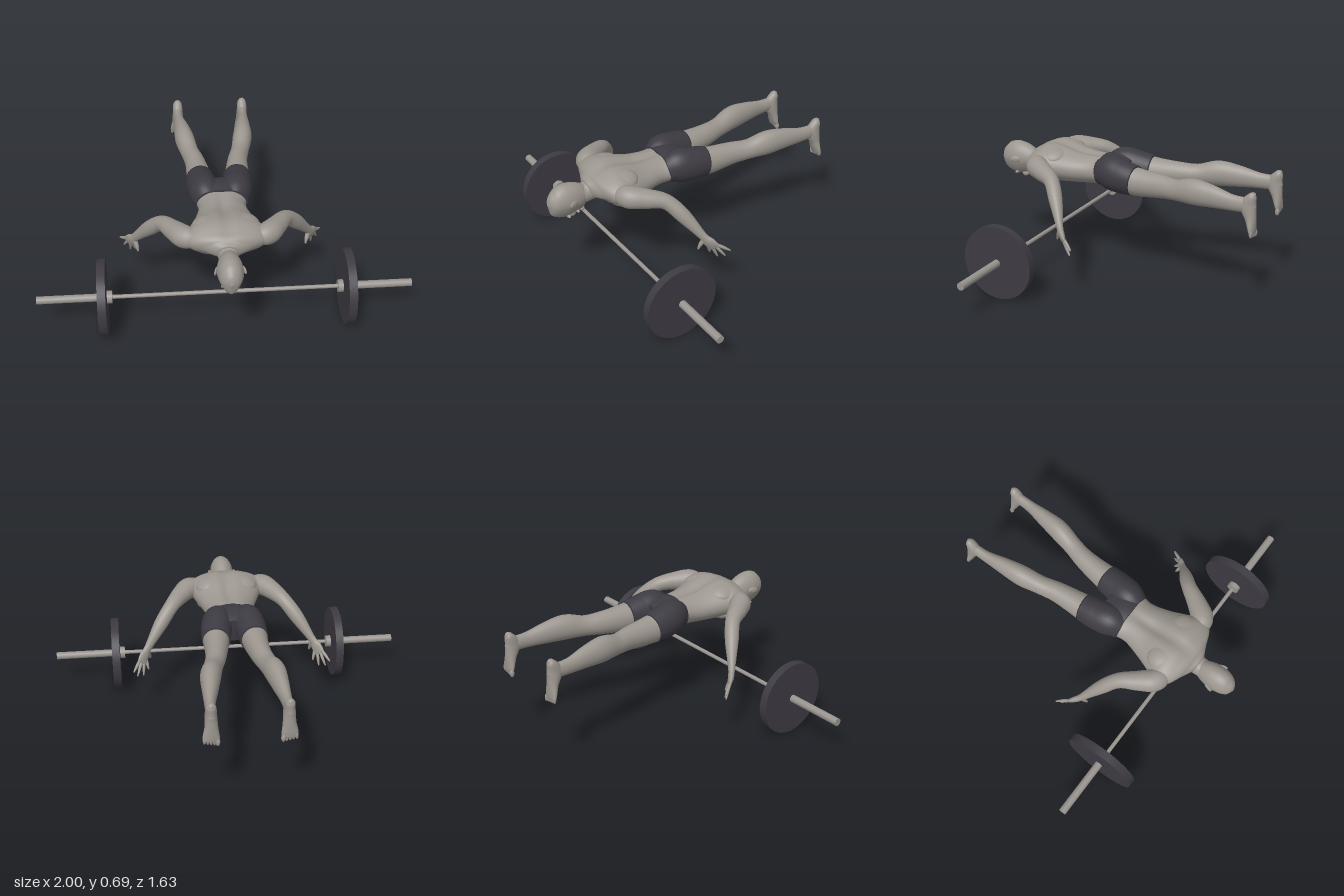
import * as THREE from 'three';

const skin = new THREE.MeshStandardMaterial({ color: 0x9c968f });
skin.name = 'skin grey';
const dark = new THREE.MeshStandardMaterial({ color: 0x3d3b42 });
dark.name = 'dark charcoal';
const steel = new THREE.MeshStandardMaterial({ color: 0x98938e });
steel.name = 'steel grey';

// Smooth closed body through sections [x, y, z, radius across, radius along up]
function loft(name, material, sections, up = [0, 1, 0], { rings = 40, sides = 28, rule } = {}) {
  const path = new THREE.CatmullRomCurve3(sections.map(s => new THREE.Vector3(s[0], s[1], s[2])), false, 'catmullrom', 0.5);
  const radii = new THREE.CatmullRomCurve3(sections.map(s => new THREE.Vector3(s[3], s[4], 0)), false, 'catmullrom', 0.5);
  const ref = new THREE.Vector3(...up);
  const pos = [], index = [];
  for (let i = 0; i <= rings; i++) {
    const t = i / rings, c = path.getPoint(t), r = radii.getPoint(t), T = path.getTangent(t);
    const U = ref.clone().addScaledVector(T, -ref.dot(T)).normalize();
    const S = U.clone().cross(T);
    for (let j = 0; j < sides; j++) {
      const a = (j / sides) * Math.PI * 2;
      const v = c.clone().addScaledVector(S, Math.cos(a) * r.x).addScaledVector(U, Math.sin(a) * r.y);
      if (rule) rule(v, Math.sin(a));
      pos.push(v.x, v.y, v.z);
      if (i < rings) {
        const p = i * sides + j, q = i * sides + (j + 1) % sides;
        index.push(p, q, p + sides, q, q + sides, p + sides);
      }
    }
  }
  // End caps
  const first = pos.length / 3, base = rings * sides;
  const a = path.getPoint(0), b = path.getPoint(1);
  pos.push(a.x, a.y, a.z, b.x, b.y, b.z);
  for (let j = 0; j < sides; j++) {
    const k = (j + 1) % sides;
    index.push(first, k, j, first + 1, base + j, base + k);
  }
  const g = new THREE.BufferGeometry();
  g.setAttribute('position', new THREE.Float32BufferAttribute(pos, 3));
  g.setIndex(index);
  g.computeVertexNormals();
  const mesh = new THREE.Mesh(g, material);
  mesh.name = name;
  return mesh;
}

function ellipsoid(name, material, [x, y, z], [rx, ry, rz]) {
  const g = new THREE.SphereGeometry(1, 20, 14).scale(rx, ry, rz);
  const mesh = new THREE.Mesh(g, material);
  mesh.position.set(x, y, z);
  mesh.name = name;
  return mesh;
}

// Cylinder lying along x
function rod(name, material, x, radius, length, sides = 32) {
  const mesh = new THREE.Mesh(new THREE.CylinderGeometry(radius, radius, length, sides).rotateZ(Math.PI / 2), material);
  mesh.position.x = x;
  mesh.name = name;
  return mesh;
}

function barbell() {
  const g = new THREE.Group();
  g.name = 'barbell';
  g.position.set(0, 0.206, 0.44);
  g.add(rod('bar', steel, 0, 0.011, 1.26));
  for (const s of [1, -1]) {
    g.add(rod('collar', steel, s * 0.616, 0.034, 0.03));
    g.add(rod('weightPlate', dark, s * 0.651, 0.204, 0.044, 64));
    g.add(rod('sleeve', steel, s * 0.835, 0.021, 0.33));
  }
  return g;
}

function head() {
  const g = new THREE.Group();
  g.name = 'head';
  g.add(loft('skull', skin, [
    [0, 0.562, 0.817, 0.004, 0.006], [0, 0.562, 0.803, 0.034, 0.05], [0, 0.56, 0.775, 0.055, 0.08],
    [0, 0.56, 0.73, 0.066, 0.095], [0, 0.56, 0.69, 0.066, 0.092], [0, 0.553, 0.65, 0.058, 0.082],
    [0, 0.543, 0.622, 0.046, 0.068], [0, 0.54, 0.605, 0.03, 0.045],
  ], [0, 1, 0], {
    // Narrow the face towards the jaw
    rule: (v, up) => { if (up < 0) v.x *= 1 + 0.3 * up; },
  }));
  g.add(loft('neck', skin, [
    [0, 0.57, 0.67, 0.048, 0.055], [0, 0.567, 0.61, 0.05, 0.054], [0, 0.575, 0.57, 0.058, 0.055], [0, 0.585, 0.52, 0.08, 0.06],
  ]));
  g.add(ellipsoid('nose', skin, [0, 0.466, 0.678], [0.013, 0.018, 0.02]));
  g.add(ellipsoid('lips', skin, [0, 0.471, 0.649], [0.022, 0.01, 0.01]));
  g.add(ellipsoid('chin', skin, [0, 0.482, 0.625], [0.022, 0.016, 0.016]));
  for (const s of [1, -1]) {
    g.add(ellipsoid('brow', skin, [s * 0.024, 0.477, 0.715], [0.024, 0.01, 0.01]));
    const ear = ellipsoid('ear', skin, [s * 0.07, 0.565, 0.7], [0.007, 0.018, 0.028]);
    ear.rotation.y = s * 0.3;
    g.add(ear);
  }
  return g;
}

function torso() {
  const g = new THREE.Group();
  g.name = 'torso';
  g.add(loft('trunk', skin, [
    [0, 0.577, 0.125, 0.138, 0.078], [0, 0.575, 0.2, 0.126, 0.083], [0, 0.575, 0.3, 0.152, 0.091],
    [0, 0.585, 0.4, 0.19, 0.104], [0, 0.596, 0.47, 0.215, 0.1], [0, 0.597, 0.525, 0.19, 0.075],
    [0, 0.59, 0.56, 0.115, 0.055], [0, 0.585, 0.59, 0.05, 0.045],
  ], [0, 1, 0], {
    rings: 50, sides: 56,
    // Spine furrow on the back, shallow furrow between the chest muscles
    rule: (v, up) => {
      const fade = Math.sin(Math.PI * THREE.MathUtils.clamp((v.z - 0.1) / 0.48, 0, 1));
      v.y += (up > 0 ? -0.022 : 0.01) * fade * Math.exp(-((v.x / 0.03) ** 2));
    },
  }));
  for (const s of [1, -1]) {
    const blade = ellipsoid('shoulderBlade', skin, [s * 0.105, 0.64, 0.43], [0.075, 0.042, 0.085]);
    blade.rotation.z = -s * 0.25;
    g.add(blade);
    g.add(ellipsoid('chestMuscle', skin, [s * 0.085, 0.525, 0.43], [0.085, 0.038, 0.07]));
  }
  return g;
}

function shorts() {
  const g = new THREE.Group();
  g.name = 'shorts';
  g.add(loft('waist', dark, [
    [0, 0.577, 0.147, 0.14, 0.084], [0, 0.58, 0.1, 0.154, 0.087], [0, 0.578, 0.05, 0.15, 0.08], [0, 0.575, 0.005, 0.1, 0.065],
  ], [0, 1, 0], { sides: 40 }));
  for (const s of [1, -1]) {
    g.add(loft('shortsLeg', dark, [
      [s * 0.07, 0.58, 0.142, 0.062, 0.072], [s * 0.083, 0.59, 0.075, 0.083, 0.096], [s * 0.095, 0.582, 0, 0.084, 0.093],
      [s * 0.103, 0.573, -0.086, 0.077, 0.083],
    ]));
  }
  return g;
}

function leg(s) {
  const g = new THREE.Group();
  g.name = s > 0 ? 'leftLeg' : 'rightLeg';
  g.add(loft('legShape', skin, [
    [s * 0.103, 0.573, -0.05, 0.074, 0.08], [s * 0.107, 0.57, -0.13, 0.066, 0.075], [s * 0.12, 0.574, -0.25, 0.055, 0.064],
    [s * 0.143, 0.578, -0.35, 0.05, 0.057], [s * 0.166, 0.594, -0.46, 0.054, 0.07], [s * 0.178, 0.591, -0.57, 0.043, 0.06],
    [s * 0.189, 0.582, -0.68, 0.029, 0.044], [s * 0.192, 0.582, -0.775, 0.026, 0.04],
  ]));
  g.add(loft('foot', skin, [
    [s * 0.192, 0.652, -0.8, 0.01, 0.01], [s * 0.192, 0.632, -0.79, 0.025, 0.025], [s * 0.192, 0.58, -0.772, 0.03, 0.043],
    [s * 0.192, 0.515, -0.787, 0.034, 0.029], [s * 0.194, 0.465, -0.797, 0.042, 0.019], [s * 0.194, 0.437, -0.802, 0.041, 0.012],
  ], [0, 0, 1]));
  // Toes from the big one outwards
  for (let i = 0; i < 5; i++) {
    const r = i === 0 ? 0.012 : 0.0085;
    g.add(ellipsoid('toe', skin, [s * (0.162 + i * 0.0165), 0.432 + i * 0.003, -0.803], [r, 0.022, r]));
  }
  return g;
}

function arm(s) {
  const g = new THREE.Group();
  g.name = s > 0 ? 'leftArm' : 'rightArm';
  const width = [s * 0.74, 0.28, -0.61];
  const add = (name, sections, options) =>
    g.add(loft(name, skin, sections.map(([x, ...rest]) => [s * x, ...rest]), width, options));
  // Shoulder, elbow, wrist and palm
  add('armShape', [
    [0.15, 0.602, 0.48, 0.045, 0.045], [0.212, 0.603, 0.462, 0.06, 0.06], [0.265, 0.597, 0.395, 0.053, 0.052],
    [0.322, 0.577, 0.307, 0.041, 0.041], [0.387, 0.503, 0.243, 0.037, 0.04], [0.465, 0.395, 0.175, 0.019, 0.024],
    [0.49, 0.357, 0.148, 0.016, 0.034], [0.506, 0.325, 0.124, 0.01, 0.034],
  ], { rings: 60 });
  // Fingers from index to little, fanned out along the palm's width
  const tips = [[0.47, 0.277, 0.13], [0.5, 0.256, 0.102], [0.534, 0.268, 0.076], [0.554, 0.307, 0.058]];
  tips.forEach((tip, i) => {
    const k = (i - 1.5) * 0.018;
    const root = [0.5 + 0.74 * k, 0.335 + 0.28 * k, 0.13 - 0.61 * k];
    const mid = root.map((v, n) => (v + tip[n]) / 2);
    add('finger', [[...root, 0.009, 0.009], [...mid, 0.0085, 0.0085], [...tip, 0.004, 0.004]], { rings: 12, sides: 12 });
  });
  add('thumb', [[0.474, 0.378, 0.165, 0.014, 0.014], [0.462, 0.342, 0.185, 0.011, 0.011], [0.456, 0.312, 0.196, 0.005, 0.005]],
    { rings: 12, sides: 12 });
  return g;
}

export function createModel() {
  const model = new THREE.Group();
  model.name = 'proneFigureWithBarbell';
  model.add(barbell(), head(), torso(), shorts());
  for (const s of [1, -1]) model.add(leg(s), arm(s));
  return model;
}
